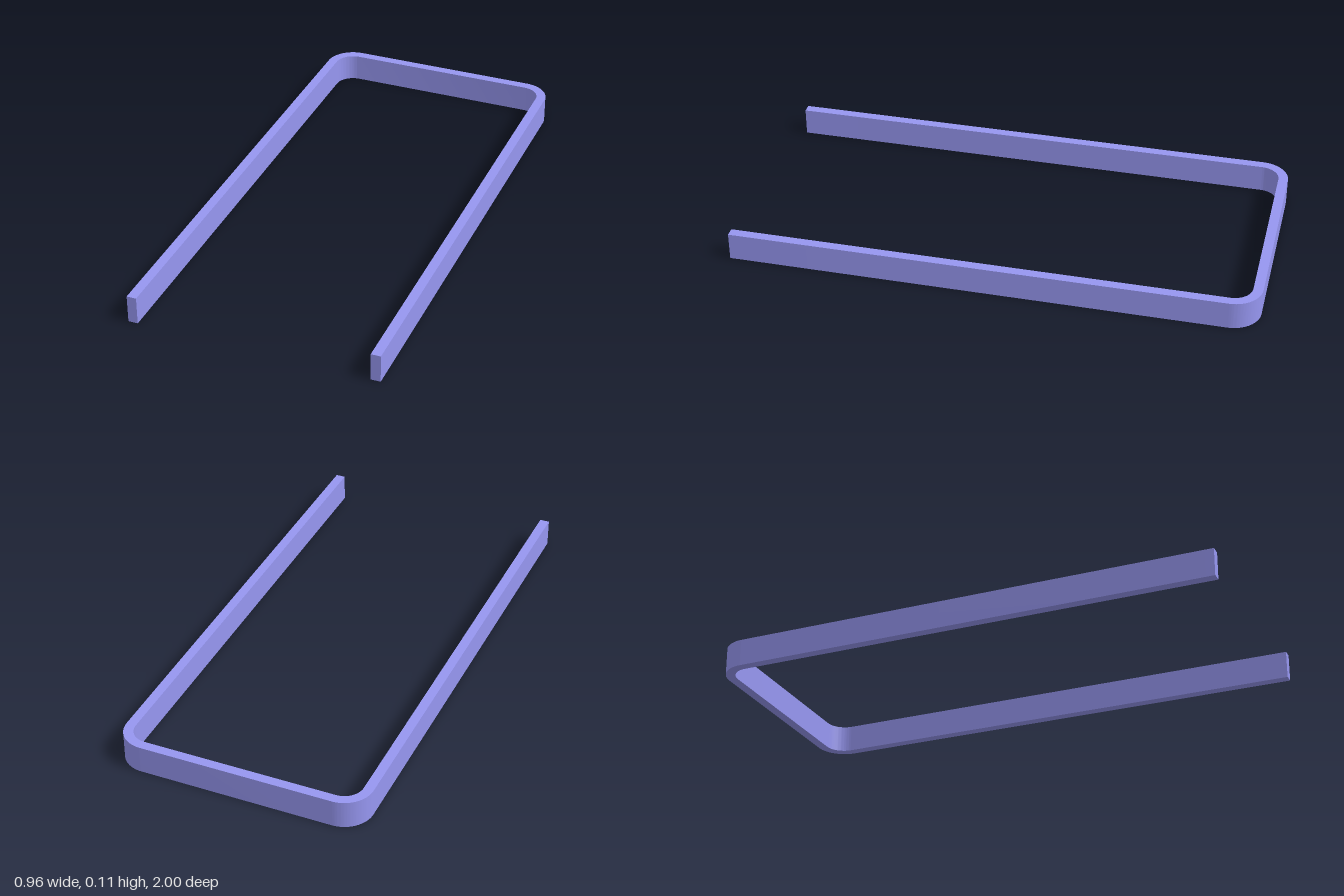
import * as THREE from 'three';
import { toCreasedNormals } from 'three/addons/utils/BufferGeometryUtils.js';

const HALF_WIDTH = 0.48;
const HALF_LENGTH = 1;
const HEIGHT = 0.107;
const THICKNESS = 0.037;
const CORNER_RADIUS = 0.11;

// U-shaped outline in plan, with the closed end at the back (+y in the shape)
function createOutline() {
  const innerRadius = CORNER_RADIUS - THICKNESS;
  const inner = HALF_WIDTH - THICKNESS;
  const cx = HALF_WIDTH - CORNER_RADIUS;
  const cy = HALF_LENGTH - CORNER_RADIUS;

  const shape = new THREE.Shape();
  shape.moveTo(HALF_WIDTH, -HALF_LENGTH);
  shape.lineTo(HALF_WIDTH, cy);
  shape.absarc(cx, cy, CORNER_RADIUS, 0, Math.PI / 2, false);
  shape.absarc(-cx, cy, CORNER_RADIUS, Math.PI / 2, Math.PI, false);
  shape.lineTo(-HALF_WIDTH, -HALF_LENGTH);
  shape.lineTo(-inner, -HALF_LENGTH);
  shape.absarc(-cx, cy, innerRadius, Math.PI, Math.PI / 2, true);
  shape.absarc(cx, cy, innerRadius, Math.PI / 2, 0, true);
  shape.lineTo(inner, -HALF_LENGTH);
  shape.closePath();
  return shape;
}

export function createModel() {
  const group = new THREE.Group();
  group.name = 'bracket';

  // Flat bar bent into a U, extruded upwards from the ground
  const bar = new THREE.ExtrudeGeometry(createOutline(), {
    depth: HEIGHT,
    bevelEnabled: false,
    curveSegments: 20,
  });
  bar.rotateX(-Math.PI / 2);

  const mesh = new THREE.Mesh(
    toCreasedNormals(bar, Math.PI / 6),
    new THREE.MeshStandardMaterial({ color: 0x9696f0 })
  );
  mesh.name = 'bentBar';
  group.add(mesh);
  return group;
}
